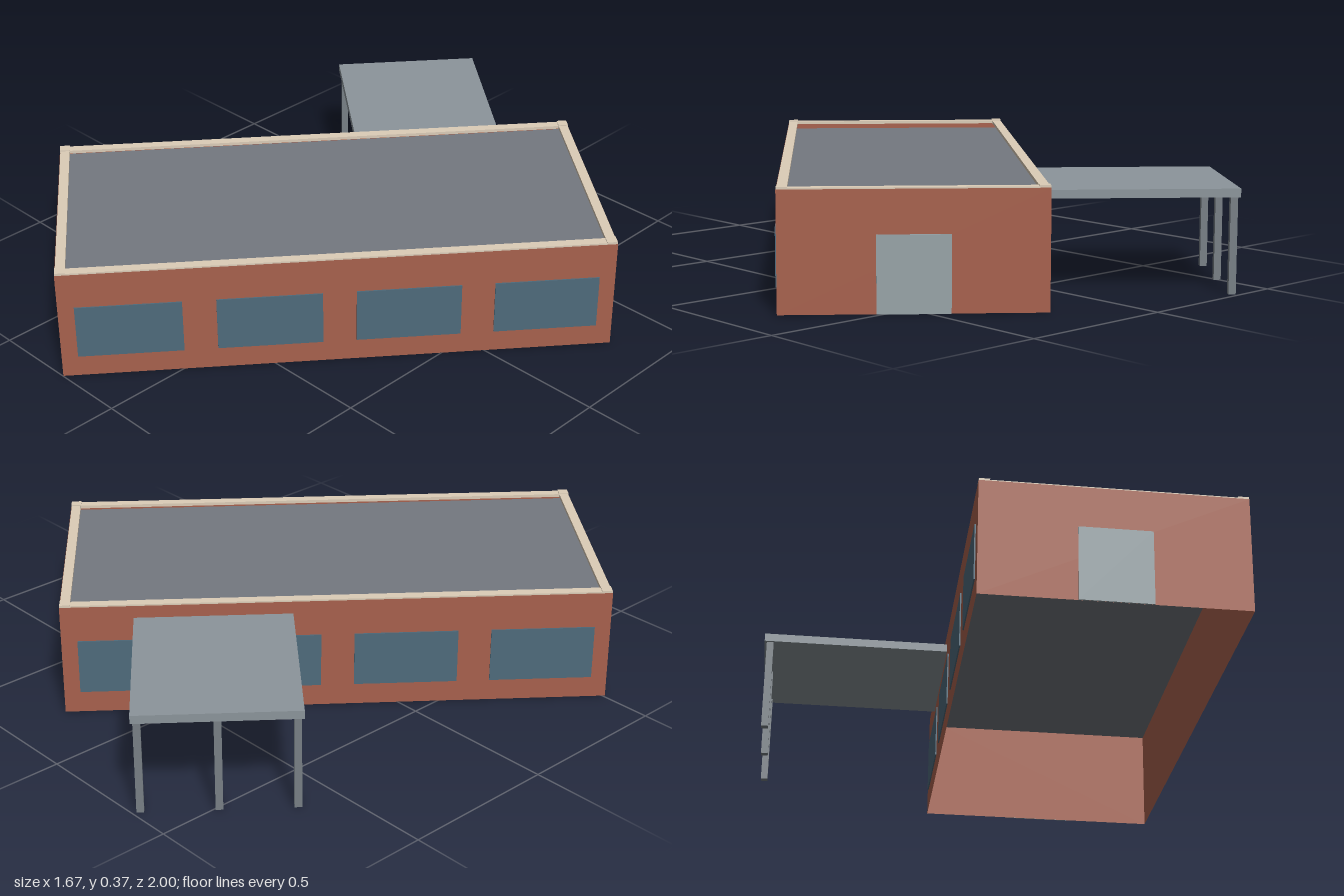
import * as THREE from 'three';

const L = 1.685, W = 0.778, H = 0.36;

const mat = (color) => new THREE.MeshStandardMaterial({ color, side: THREE.DoubleSide });
const brick = mat(0xa8614d), glass = mat(0x4f6b7c), doorGrey = mat(0x98a4a8), cream = mat(0xdccdb8);
const roofGrey = mat(0x747980), canopyGrey = mat(0x8c959b), postGrey = mat(0x788086);

function add(parent, name, geometry, material, x, y, z) {
  const mesh = new THREE.Mesh(geometry, material);
  mesh.name = name;
  mesh.position.set(x, y, z);
  parent.add(mesh);
  return mesh;
}
const box = (w, h, d) => new THREE.BoxGeometry(w, h, d);

// One wall facing +z, placed at the given distance and turned about the centre
function side(name, length, distance, angle) {
  const group = new THREE.Group();
  group.name = name;
  group.rotation.y = angle;
  add(group, 'wall', new THREE.PlaneGeometry(length, H), brick, 0, H / 2, distance);
  add(group, 'coping', box(length - 0.064, 0.01, 0.03), cream, 0, H - 0.001, distance - 0.017);
  add(group, 'copingCorner', box(0.032, 0.014, 0.032), cream, length / 2 - 0.017, H, distance - 0.017);
  return group;
}

export function createModel() {
  const model = new THREE.Group();
  model.name = 'building';

  // The whole building stands turned on its plot
  const plan = new THREE.Group();
  plan.name = 'turnedPlan';
  plan.rotation.y = 0.8866;
  plan.position.z = 0.1;
  model.add(plan);

  // Long walls with four windows each, end walls with a door each
  for (const turn of [0, Math.PI]) {
    const long = side('longSide', L, W / 2, turn);
    for (let i = 0; i < 4; i++) {
      add(long, 'window', box(0.32, 0.175, 0.004), glass, (i - 1.5) * 0.422, 0.158, W / 2 + 0.0025);
    }
    const end = side('endSide', W, L / 2, turn + Math.PI / 2);
    add(end, 'door', box(0.214, 0.23, 0.004), doorGrey, 0, 0.115, L / 2 + 0.0025);
    plan.add(long, end);
  }

  // Flat roof sunk behind the parapet; the shell is open below
  const roof = add(plan, 'roof', new THREE.PlaneGeometry(L, W), roofGrey, 0, 0.335, 0);
  roof.rotation.x = -Math.PI / 2;

  // Canopy on the back wall, carried by three posts on its outer edge
  const canopy = new THREE.Group();
  canopy.name = 'canopy';
  canopy.position.set(0.378, 0, -W / 2);
  plan.add(canopy);
  add(canopy, 'canopyRoof', box(0.484, 0.026, 0.588), canopyGrey, 0, 0.307, -0.294);
  for (const x of [-0.224, 0, 0.224]) {
    add(canopy, 'post', box(0.022, 0.294, 0.022), postGrey, x, 0.147, -0.57);
  }
  return model;
}
